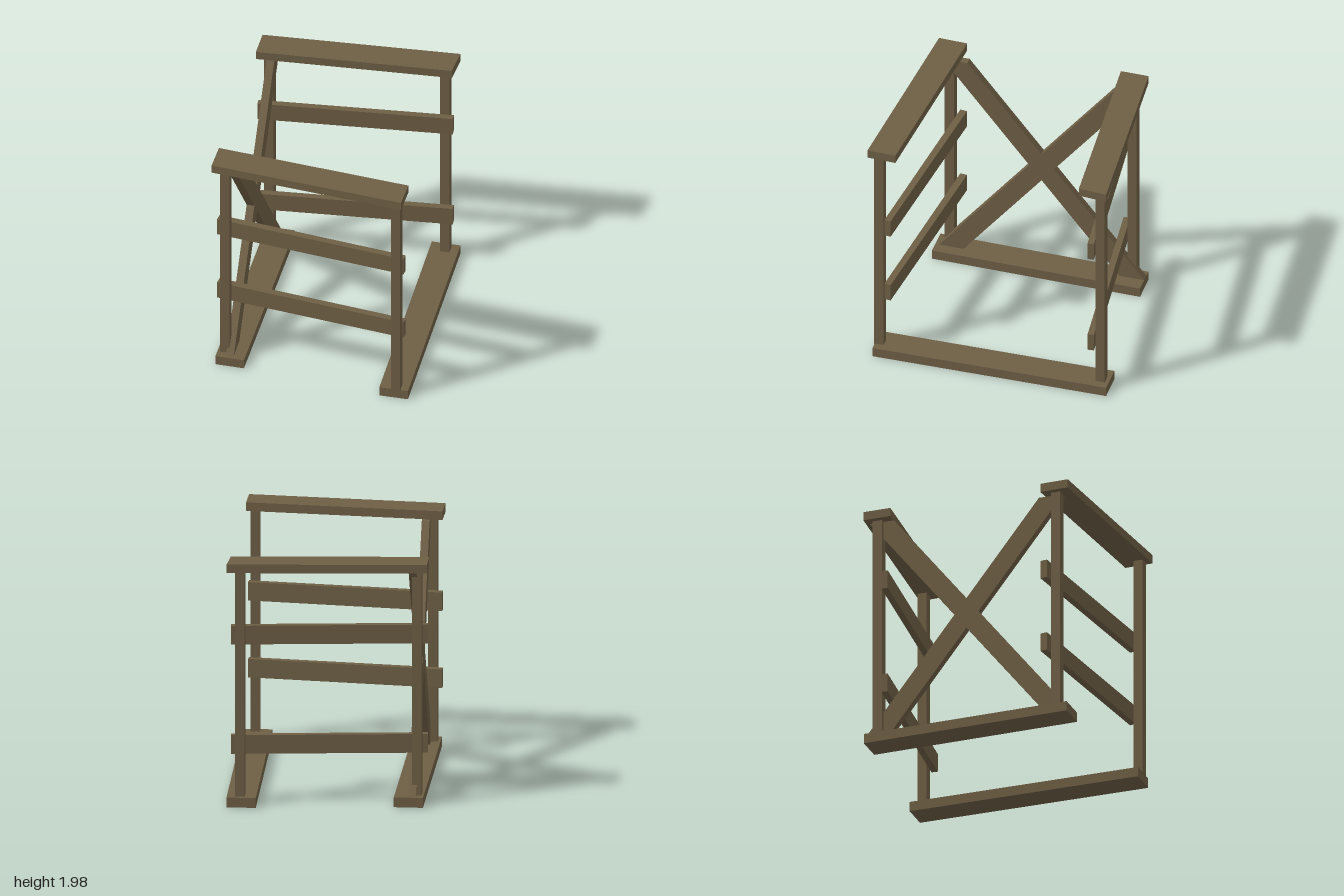
import * as THREE from 'three';

const wood = new THREE.MeshStandardMaterial({ color: 0x6e5f45 });
wood.name = 'weathered wood';

function extrude(points, depth) {
  const shape = new THREE.Shape(points.map(([a, b]) => new THREE.Vector2(a, b)));
  return new THREE.ExtrudeGeometry(shape, { depth, bevelEnabled: false });
}

export function createModel() {
  const group = new THREE.Group();
  const add = (name, geometry) => {
    const mesh = new THREE.Mesh(geometry, wood);
    mesh.name = name;
    group.add(mesh);
    return mesh;
  };

  // Horizontal board: four plan corners [x, z], from height y0 to y1
  const board = (name, corners, y0, y1) => {
    const geometry = extrude(corners.map(([x, z]) => [x, -z]), y1 - y0);
    add(name, geometry.rotateX(-Math.PI / 2).translate(0, y0, 0));
  };

  // Floor runners
  board('leftRunner', [[0.423, -0.974], [0.651, -1], [0.889, 0.884], [0.661, 0.912]], 0, 0.08);
  board('rightRunner', [[-0.86, -0.72], [-0.632, -0.745], [-0.452, 0.945], [-0.68, 0.97]], 0, 0.08);

  // Top caps
  board('backCap', [[-0.889, -0.709], [0.651, -1], [0.661, -0.773], [-0.864, -0.485]], 1.91, 1.98);
  board('frontCap', [[-0.725, 0.762], [0.831, 0.714], [0.852, 0.942], [-0.704, 0.992]], 1.91, 1.98);

  // Corner posts, turned with their runners
  const posts = [
    ['frontRightPost', -0.632, 0.862, 0.107],
    ['backRightPost', -0.795, -0.62, 0.107],
    ['frontLeftPost', 0.786, 0.862, 0.125],
    ['backLeftPost', 0.558, -0.92, 0.125],
  ];
  for (const [name, x, z, turn] of posts) {
    const post = add(name, new THREE.BoxGeometry(0.075, 1.84, 0.077));
    post.position.set(x, 0.995, z);
    post.rotation.y = turn;
  }

  // Cross rails on the inner faces of the posts
  const backRail = [[-0.87, -0.56], [0.635, -0.89], [0.645, -0.84], [-0.86, -0.51]];
  const frontRail = [[-0.72, 0.762], [0.825, 0.757], [0.825, 0.81], [-0.72, 0.818]];
  for (const y of [0.405, 1.297]) board('backRail', backRail, y, y + 0.152);
  for (const y of [0.54, 1.167]) board('frontRail', frontRail, y, y + 0.15);

  // Crossed diagonal braces on the right side, in one turned plane
  for (const dir of [1, -1]) {
    const low = 0.1 + dir * 0.735;
    const high = 0.1 - dir * 0.704;
    const geometry = extrude(
      [[low - 0.1, 0.08], [low + 0.1, 0.08], [high + 0.1, 1.91], [high - 0.1, 1.91]], 0.062);
    geometry.rotateY(-Math.PI / 2).translate(0.031, 0, -0.1);
    const brace = add('diagonalBrace', geometry);
    brace.position.set(-0.676, 0, 0.1);
    brace.rotation.y = 0.121;
  }

  return group;
}
